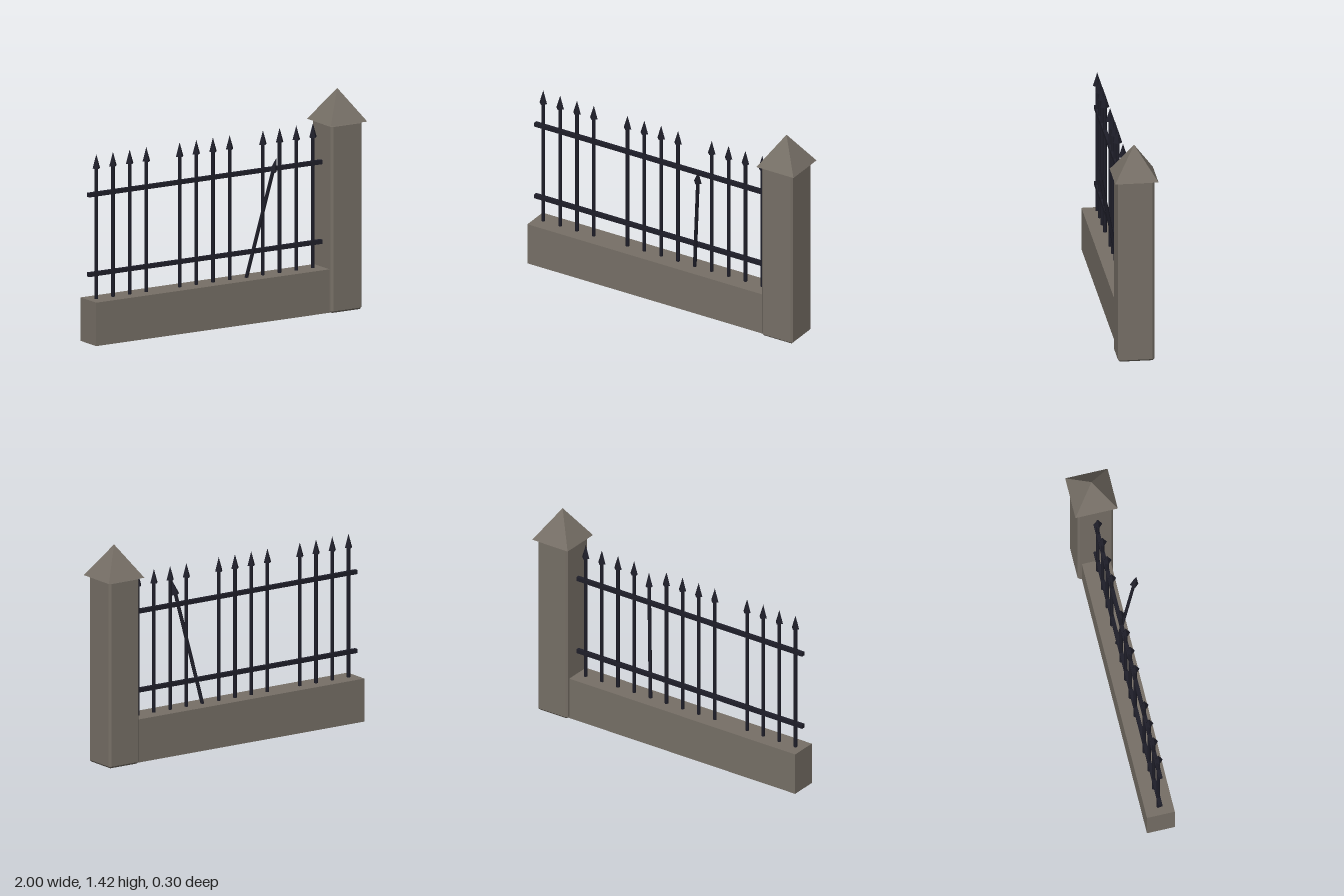
import * as THREE from 'three';
import { ConvexGeometry } from 'three/addons/geometries/ConvexGeometry.js';

const Z = -0.015; // shared centre line of wall, fence and pillar

// box with every edge chamfered
function chamferedBox(w, h, d, c) {
  const points = [];
  const half = [w / 2, h / 2, d / 2];
  for (const sx of [-1, 1]) for (const sy of [-1, 1]) for (const sz of [-1, 1]) {
    for (let axis = 0; axis < 3; axis++) {
      // each face keeps its full reach on one axis only
      const r = half.map((v, i) => (i === axis ? v : v - c));
      points.push(new THREE.Vector3(sx * r[0], sy * r[1], sz * r[2]));
    }
  }
  return new ConvexGeometry(points);
}

export function createModel() {
  const model = new THREE.Group();
  model.name = 'fenceSection';
  const stone = new THREE.MeshStandardMaterial({ color: 0x766f66 });
  stone.name = 'stone';
  const iron = new THREE.MeshStandardMaterial({ color: 0x1e1e29 });
  iron.name = 'iron';

  function add(parent, name, geometry, material, x, y, z) {
    const mesh = new THREE.Mesh(geometry, material);
    mesh.name = name;
    mesh.position.set(x, y, z);
    parent.add(mesh);
    return mesh;
  }

  // low wall
  add(model, 'wall', new THREE.BoxGeometry(1.8, 0.28, 0.18), stone, -0.1, 0.14, Z);

  // pillar with pyramid cap
  add(model, 'pillar', chamferedBox(0.23, 1.212, 0.23, 0.012), stone, 0.862, 0.606, Z);
  const cap = new THREE.ConeGeometry(0.137 * Math.SQRT2, 0.208, 4, 1).rotateY(Math.PI / 4).toNonIndexed();
  cap.computeVertexNormals();
  add(model, 'pillarCap', cap, stone, 0.863, 1.314, Z);

  // rails
  for (const [name, y] of [['lowerRail', 0.443], ['upperRail', 0.956]]) {
    add(model, name, new THREE.BoxGeometry(1.76, 0.027, 0.025), iron, -0.12, y, Z - 0.002);
  }

  // spear-tipped bars
  const headHeight = 0.09;
  const headGeometry = new THREE.ConeGeometry(0.028, headHeight, 4, 1).toNonIndexed();
  headGeometry.computeVertexNormals();

  // a bar standing at the foot and pointing at the tip
  function addBar(name, foot, tip) {
    const bar = new THREE.Group();
    bar.name = name;
    const direction = tip.clone().sub(foot);
    const length = direction.length();
    const shaftLength = length - headHeight;
    const shaft = new THREE.CylinderGeometry(0.0115, 0.0115, shaftLength, 6);
    add(bar, 'shaft', shaft, iron, 0, shaftLength / 2, 0);
    add(bar, 'spearHead', headGeometry, iron, 0, length - headHeight / 2, 0);
    bar.position.copy(foot);
    bar.quaternion.setFromUnitVectors(new THREE.Vector3(0, 1, 0), direction.normalize());
    model.add(bar);
  }

  for (let i = 0; i < 14; i++) {
    if (i === 4) continue; // missing bar
    const x = -0.94 + i * 0.1248;
    if (i === 9) {
      // loose bar leaning forward
      addBar('leaningBar', new THREE.Vector3(0.18, 0.26, Z - 0.004), new THREE.Vector3(0.306, 1.064, 0.14));
    } else {
      addBar('bar', new THREE.Vector3(x, 0.27, Z - 0.002), new THREE.Vector3(x, 1.212, Z - 0.002));
    }
  }
  return model;
}
